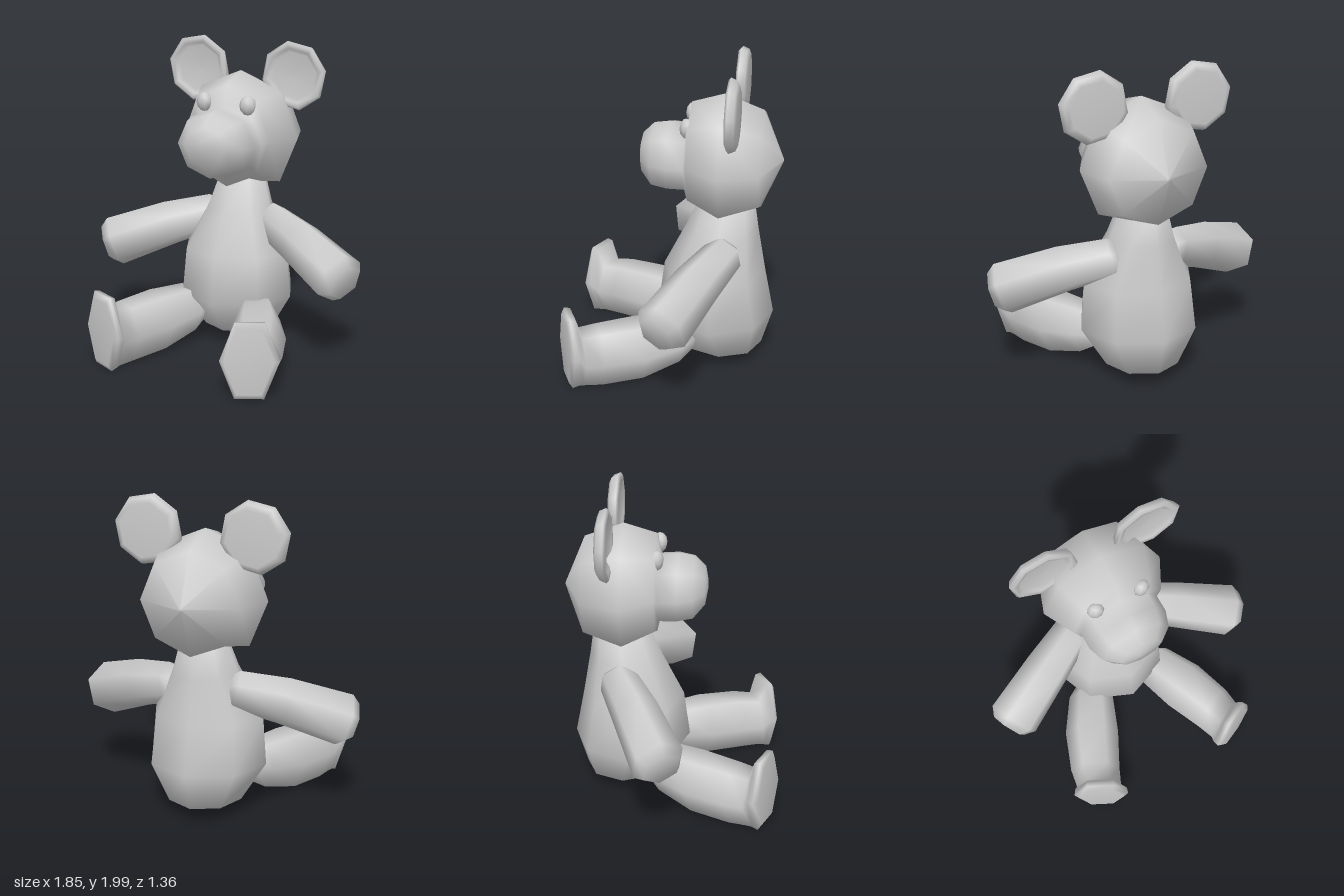
import * as THREE from 'three';

const material = new THREE.MeshStandardMaterial({ color: 0xcccccc });

// Closed loft with smooth normals. Rings are [x, y, z, radiusU, radiusV], all
// perpendicular to the direction dir; x is multiplied by side for mirroring.
function loft(name, rings, n, dir, { up = [0, 1, 0], offset = 0, side = 1, minY = -Infinity } = {}) {
  const d = new THREE.Vector3(dir[0] * side, dir[1], dir[2]).normalize();
  const u = new THREE.Vector3(...up).cross(d).normalize();
  const v = d.clone().cross(u);
  const pos = [], index = [];
  const add = (p) => pos.push(p.x, Math.max(p.y, minY), p.z);
  const centres = rings.map(([x, y, z]) => new THREE.Vector3(x * side, y, z));
  rings.forEach(([, , , ru, rv], i) => {
    for (let j = 0; j < n; j++) {
      const a = offset + (j / n) * Math.PI * 2;
      add(centres[i].clone().addScaledVector(u, ru * Math.cos(a)).addScaledVector(v, rv * Math.sin(a)));
    }
  });
  const last = rings.length - 1, start = rings.length * n, end = start + 1;
  add(centres[0]);
  add(centres[last]);
  for (let j = 0; j < n; j++) {
    const k = (j + 1) % n;
    for (let i = 0; i < last; i++) {
      const a = i * n + j, b = i * n + k;
      index.push(a, b, b + n, a, b + n, a + n);
    }
    index.push(start, k, j, end, last * n + j, last * n + k);
  }
  const g = new THREE.BufferGeometry();
  g.setAttribute('position', new THREE.Float32BufferAttribute(pos, 3));
  g.setIndex(index);
  g.computeVertexNormals();
  return named(name, g);
}

function named(name, geometry) {
  const mesh = new THREE.Mesh(geometry, material);
  mesh.name = name;
  return mesh;
}

export function createModel() {
  const model = new THREE.Group();
  model.name = 'teddyBear';

  // Pear-shaped body, from the seat up to the neck
  model.add(loft('body', [
    [0, 0.035, -0.30, 0.02, 0.02],
    [0, 0.10, -0.325, 0.24, 0.255],
    [0, 0.34, -0.275, 0.385, 0.375],
    [0, 0.64, -0.265, 0.36, 0.325],
    [0, 0.92, -0.31, 0.215, 0.23],
    [0, 1.12, -0.34, 0.15, 0.17],
  ], 8, [0, 1, 0], { up: [0, 0, 1] }));

  // Head and muzzle in one skin, from the back of the skull to the nose
  model.add(loft('head', [
    [0, 1.39, -0.68, 0.01, 0.01],
    [0, 1.39, -0.55, 0.32, 0.32],
    [0, 1.39, -0.31, 0.40, 0.41],
    [0, 1.41, -0.11, 0.30, 0.33],
    [0, 1.385, -0.09, 0.26, 0.215],
    [0, 1.39, 0.02, 0.26, 0.22],
    [0, 1.39, 0.12, 0.225, 0.205],
    [0, 1.40, 0.19, 0.14, 0.125],
    [0, 1.41, 0.208, 0.03, 0.03],
  ], 8, [0, 0, 1], { minY: 1.07 }));

  for (const side of [1, -1]) {
    const label = side > 0 ? 'left' : 'right';

    // Dished ear with a raised rim
    const profile = [[0, -0.035], [0.17, -0.035], [0.205, -0.02], [0.222, 0.02],
      [0.205, 0.035], [0.175, 0.03], [0.15, 0.008], [0, 0.004]];
    const ear = named(label + 'Ear', new THREE.LatheGeometry(
      profile.map(([x, y]) => new THREE.Vector2(x, y)), 8)
      .rotateX(Math.PI / 2).rotateZ(side * 0.2));
    ear.position.set(side * 0.338, 1.78, -0.395);
    model.add(ear);

    // Bead eye
    const eye = named(label + 'Eye', new THREE.SphereGeometry(1, 8, 6).scale(0.055, 0.062, 0.045));
    eye.position.set(side * 0.153, 1.62, -0.10);
    eye.rotation.y = side * 0.3;
    model.add(eye);

    // Arm, thickening towards the blunt paw
    model.add(loft(label + 'Arm', [
      [0.16, 0.83, -0.36, 0.09, 0.09],
      [0.20, 0.825, -0.345, 0.125, 0.125],
      [0.47, 0.745, -0.21, 0.15, 0.15],
      [0.81, 0.61, -0.045, 0.17, 0.17],
      [0.86, 0.595, -0.02, 0.12, 0.12],
    ], 6, [0.63, -0.23, 0.32], { offset: Math.PI / 2, side }));

    // Leg ending in an upright foot with a flared sole
    model.add(loft(label + 'Leg', [
      [0.20, 0.24, -0.14, 0.09, 0.10],
      [0.25, 0.235, -0.05, 0.15, 0.165],
      [0.36, 0.205, 0.17, 0.18, 0.205],
      [0.46, 0.19, 0.41, 0.165, 0.205],
      [0.49, 0.18, 0.52, 0.15, 0.195],
      [0.495, 0.248, 0.56, 0.175, 0.27],
      [0.51, 0.247, 0.595, 0.18, 0.28],
      [0.517, 0.247, 0.615, 0.15, 0.24],
    ], 6, [0.43, 0, 0.9], { side }));
  }
  return model;
}
